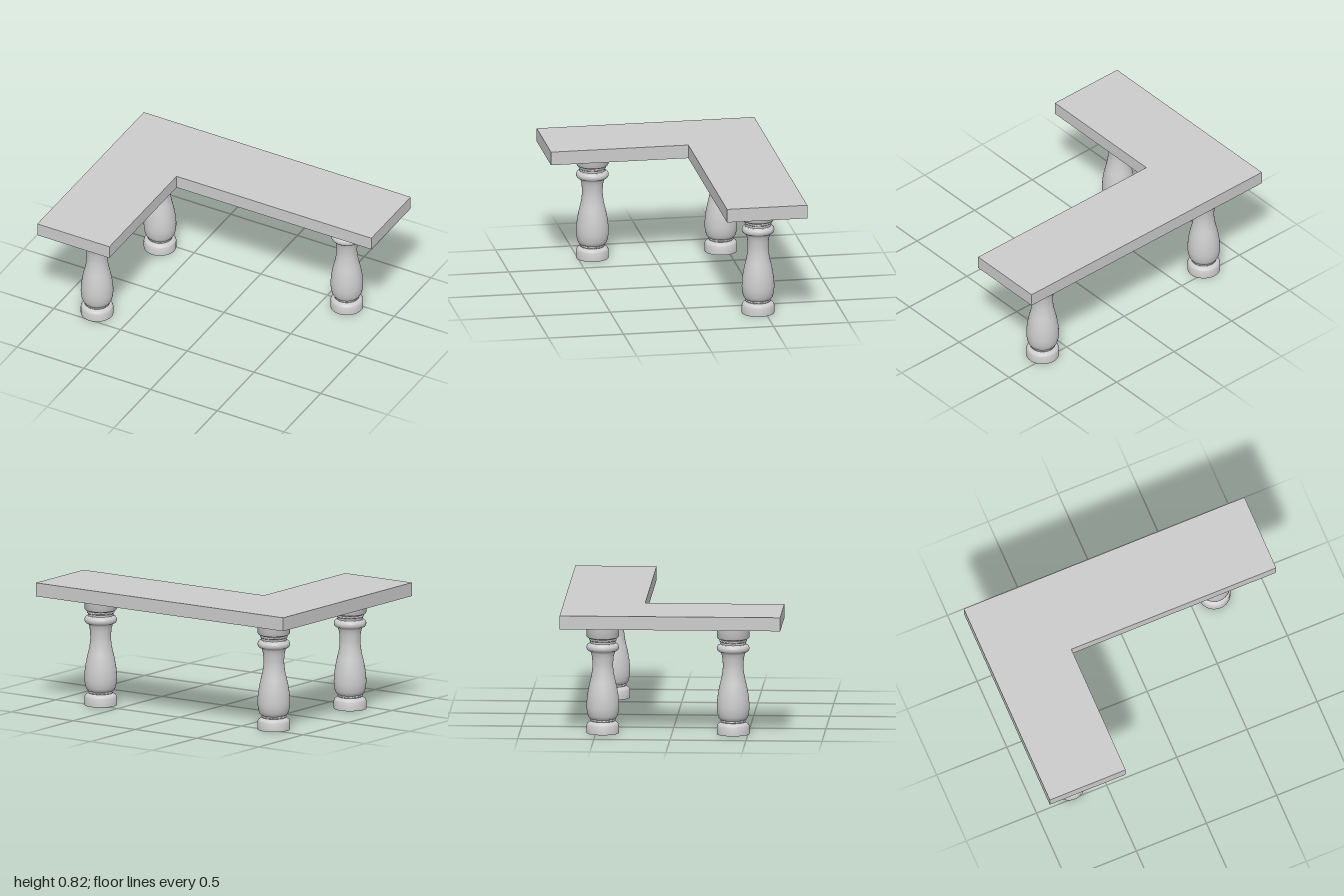
import * as THREE from 'three';
import { toCreasedNormals } from 'three/addons/utils/BufferGeometryUtils.js';

const material = new THREE.MeshStandardMaterial({ color: 0xcccccc });
const TOP_Y = 0.82, SLAB_Y = 0.73;

// L-shaped slab
function makeTop() {
  const outline = [[-1, -0.725], [-0.46, -0.725], [-0.46, 0.19], [1, 0.19], [1, 0.725], [-1, 0.725]];
  const shape = new THREE.Shape(outline.map(([x, y]) => new THREE.Vector2(x, y)));
  const geometry = new THREE.ExtrudeGeometry(shape, { depth: TOP_Y - SLAB_Y, bevelEnabled: false });
  geometry.rotateX(-Math.PI / 2).translate(0, SLAB_Y, 0);
  const top = new THREE.Mesh(geometry, material);
  top.name = 'tableTop';
  return top;
}

// Turned baluster: one profile from the floor to the slab
function makeLegGeometry() {
  const v = ([r, y]) => new THREE.Vector2(r, y);
  const bead = (r, bulge, y, h) => Array.from({ length: 9 }, (_, i) => {
    const a = -Math.PI / 2 + (i / 8) * Math.PI;
    return new THREE.Vector2(r + bulge * Math.cos(a), y + h * Math.sin(a));
  });
  const vase = new THREE.SplineCurve([
    [0.086, 0.097], [0.097, 0.115], [0.105, 0.15], [0.107, 0.19], [0.103, 0.245],
    [0.092, 0.31], [0.078, 0.37], [0.07, 0.42], [0.068, 0.46], [0.072, 0.51], [0.08, 0.54],
  ].map(v)).getPoints(32);
  const profile = [
    // plinth
    ...[[0, 0], [0.107, 0], [0.107, 0.054], [0.101, 0.066], [0.088, 0.074], [0.078, 0.076]].map(v),
    ...bead(0.075, 0.008, 0.086, 0.007),
    ...vase,
    // collar ring and small fillets under the capital
    ...bead(0.088, 0.019, 0.571, 0.024),
    ...[[0.084, 0.6], [0.084, 0.613]].map(v),
    ...bead(0.086, 0.005, 0.622, 0.007),
    ...[[0.09, 0.632], [0.101, 0.636], [0.107, 0.645], [0.107, SLAB_Y], [0, SLAB_Y]].map(v),
  ];
  return toCreasedNormals(new THREE.LatheGeometry(profile, 48), 0.6);
}

export function createModel() {
  const model = new THREE.Group();
  model.name = 'cornerTable';
  model.add(makeTop());

  const legGeometry = makeLegGeometry();
  const legs = { frontLeg: [-0.73, 0.402], cornerLeg: [-0.73, -0.455], sideLeg: [0.67, -0.455] };
  for (const [name, [x, z]] of Object.entries(legs)) {
    const leg = new THREE.Mesh(legGeometry, material);
    leg.name = name;
    leg.position.set(x, 0, z);
    model.add(leg);
  }
  return model;
}
